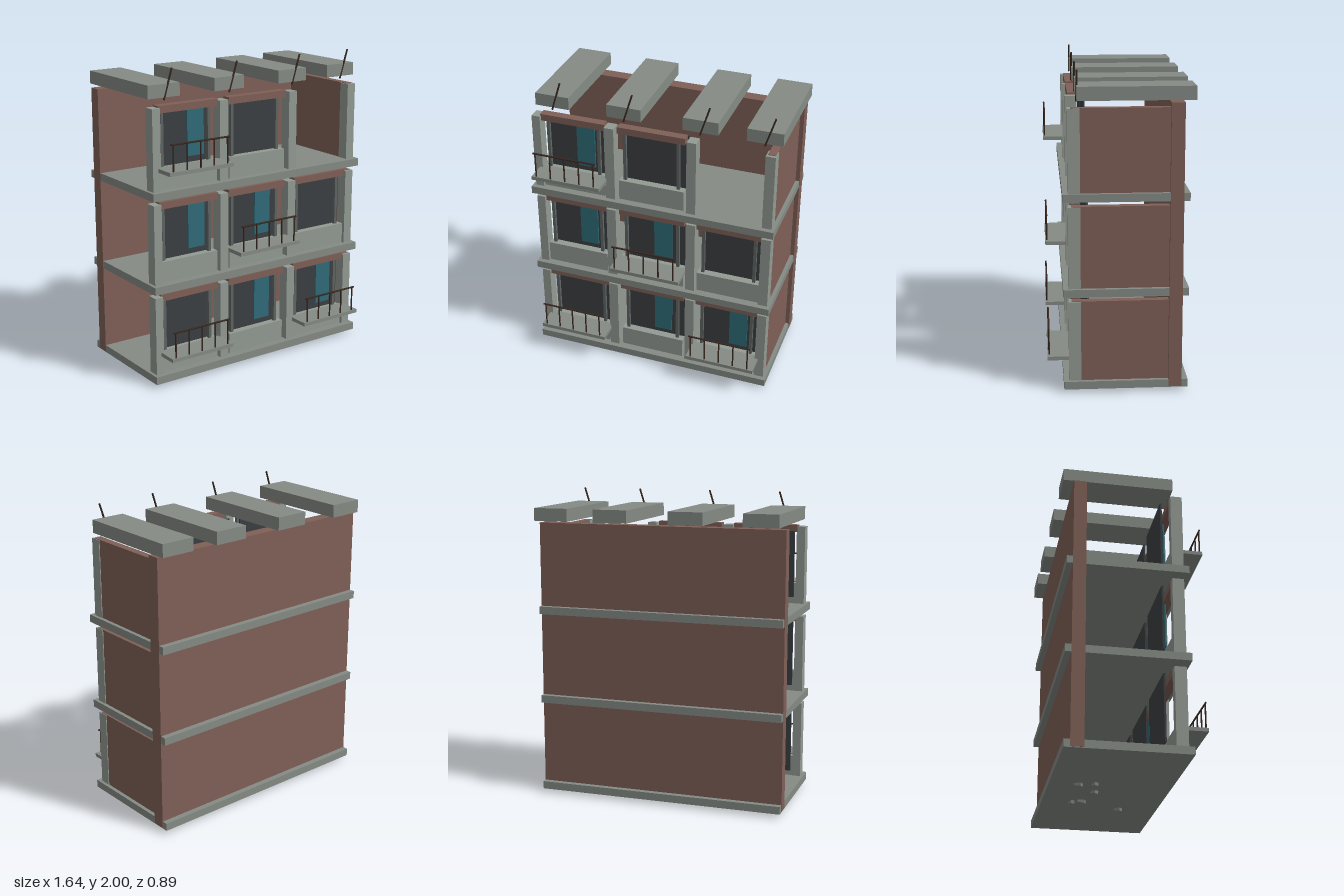
import * as THREE from 'three';

const mat = (color) => new THREE.MeshStandardMaterial({ color });
const slabGrey = mat(0x858b85), concrete = mat(0x939a93), brick = mat(0x7f6056);
const dark = mat(0x3b3f42), teal = mat(0x2f6b78), iron = mat(0x3a2920), frame = mat(0x5f6564);

// Box given by its extents on each axis
function box(parent, name, m, [x0, x1], [y0, y1], [z0, z1]) {
  const mesh = new THREE.Mesh(new THREE.BoxGeometry(x1 - x0, y1 - y0, z1 - z0), m);
  mesh.position.set((x0 + x1) / 2, (y0 + y1) / 2, (z0 + z1) / 2);
  mesh.name = name;
  parent.add(mesh);
  return mesh;
}

// Thin round bar between two points
function rod(parent, name, a, b, r = 0.006) {
  const p = new THREE.Vector3(...a), q = new THREE.Vector3(...b);
  const dir = q.clone().sub(p);
  const mesh = new THREE.Mesh(new THREE.CylinderGeometry(r, r, dir.length(), 6), iron);
  mesh.position.copy(p).add(q).multiplyScalar(0.5);
  mesh.quaternion.setFromUnitVectors(new THREE.Vector3(0, 1, 0), dir.normalize());
  mesh.name = name;
  parent.add(mesh);
}

const bays = [[-0.743, -0.32], [-0.225, 0.21], [0.304, 0.727]];
const pillars = [[-0.8, -0.744], [-0.31, -0.246], [0.232, 0.294], [0.727, 0.79]];
// Bays per floor holding a window, a curtain or a balcony
const floors = [
  { windows: [0, 1, 2], curtains: [1, 2], balconies: [0, 2] },
  { windows: [0, 1, 2], curtains: [0, 1], balconies: [1] },
  { windows: [0, 1], curtains: [0], balconies: [0] },
];

// Parapet, lintel, mullions and dark pane filling one bay
function windowBay([x0, x1], y) {
  const g = new THREE.Group();
  g.name = 'windowBay';
  box(g, 'parapet', concrete, [x0, x1], [y + 0.05, y + 0.187], [0.245, 0.295]);
  box(g, 'lintel', brick, [x0 - 0.005, x1 + 0.005], [y + 0.525, y + 0.57], [0.24, 0.296]);
  box(g, 'windowPane', dark, [x0, x1], [y + 0.1, y + 0.535], [0.184, 0.196]);
  for (const x of [x0 + 0.035, x1 - 0.045])
    box(g, 'mullion', frame, [x - 0.01, x + 0.01], [y + 0.18, y + 0.53], [0.255, 0.275]);
  return g;
}

// Ledge with a five-post railing along its front edge
function balcony([x0, x1], y) {
  const g = new THREE.Group();
  g.name = 'balcony';
  box(g, 'balconyLedge', slabGrey, [x0 - 0.02, x1 + 0.02], [y + 0.17, y + 0.194], [0.285, 0.447]);
  const a = x0 + 0.01, b = x1 - 0.02, top = y + 0.36;
  for (let i = 0; i < 5; i++) {
    const x = a + ((b - a) * i) / 4;
    rod(g, 'railPost', [x, y + 0.19, 0.437], [x, top, 0.437], 0.005);
  }
  rod(g, 'handrail', [a - 0.015, top, 0.437], [b + 0.015, top, 0.437]);
  return g;
}

export function createModel() {
  const model = new THREE.Group();
  model.name = 'building';

  // Back wall over all floors
  box(model, 'backWall', brick, [-0.822, 0.812], [0.03, 1.81], [-0.382, -0.3]);

  floors.forEach((f, i) => {
    const y = 0.025 + i * 0.595;
    const storey = new THREE.Group();
    storey.name = 'storey';
    model.add(storey);

    box(storey, 'floorSlab', slabGrey, [-0.82, 0.81], [y, y + 0.05], [-0.42, 0.347]);
    // One closed side, the other stays open
    box(storey, 'sideWall', brick, [0.735, 0.785], [y + 0.05, y + 0.563], [-0.3, 0.295]);
    for (const p of pillars)
      box(storey, 'pillar', concrete, p, [y + 0.05, y + 0.56], [0.24, 0.315]);

    for (const b of f.windows) storey.add(windowBay(bays[b], y));
    for (const b of f.curtains) {
      const x = bays[b][0] + 0.225;
      box(storey, 'curtain', teal, [x, x + 0.122], [y + 0.228, y + 0.526], [0.252, 0.262]);
    }
    for (const b of f.balconies) storey.add(balcony(bays[b], y));
  });

  // Broken roof: four planks, each with a bent bar at its front edge
  const planks = [[-0.793, -0.68], [-0.312, -0.2], [0.187, 0.298], [0.592, 0.705]];
  for (const [x, barX] of planks) {
    box(model, 'roofPlank', slabGrey, [x, x + 0.227], [1.825, 1.908], [-0.447, 0.258]);
    rod(model, 'reinforcingBar', [barX, 1.808, 0.256], [barX + 0.06, 2, 0.256]);
  }

  // Small rubble poking out beneath the ground slab
  const rubble = [[-0.22, -0.14, 0.3], [-0.2, -0.24, 0.9], [-0.07, -0.12, 0.5], [0.13, -0.17, 1.2], [0.16, -0.23, 0.2], [0.26, 0.09, 0.7]];
  for (const [x, z, turn] of rubble) {
    const chunk = box(model, 'rubble', slabGrey, [x - 0.025, x + 0.025], [0.006, 0.026], [z - 0.012, z + 0.012]);
    chunk.rotation.set(0.1, turn, 0.15);
  }
  return model;
}
